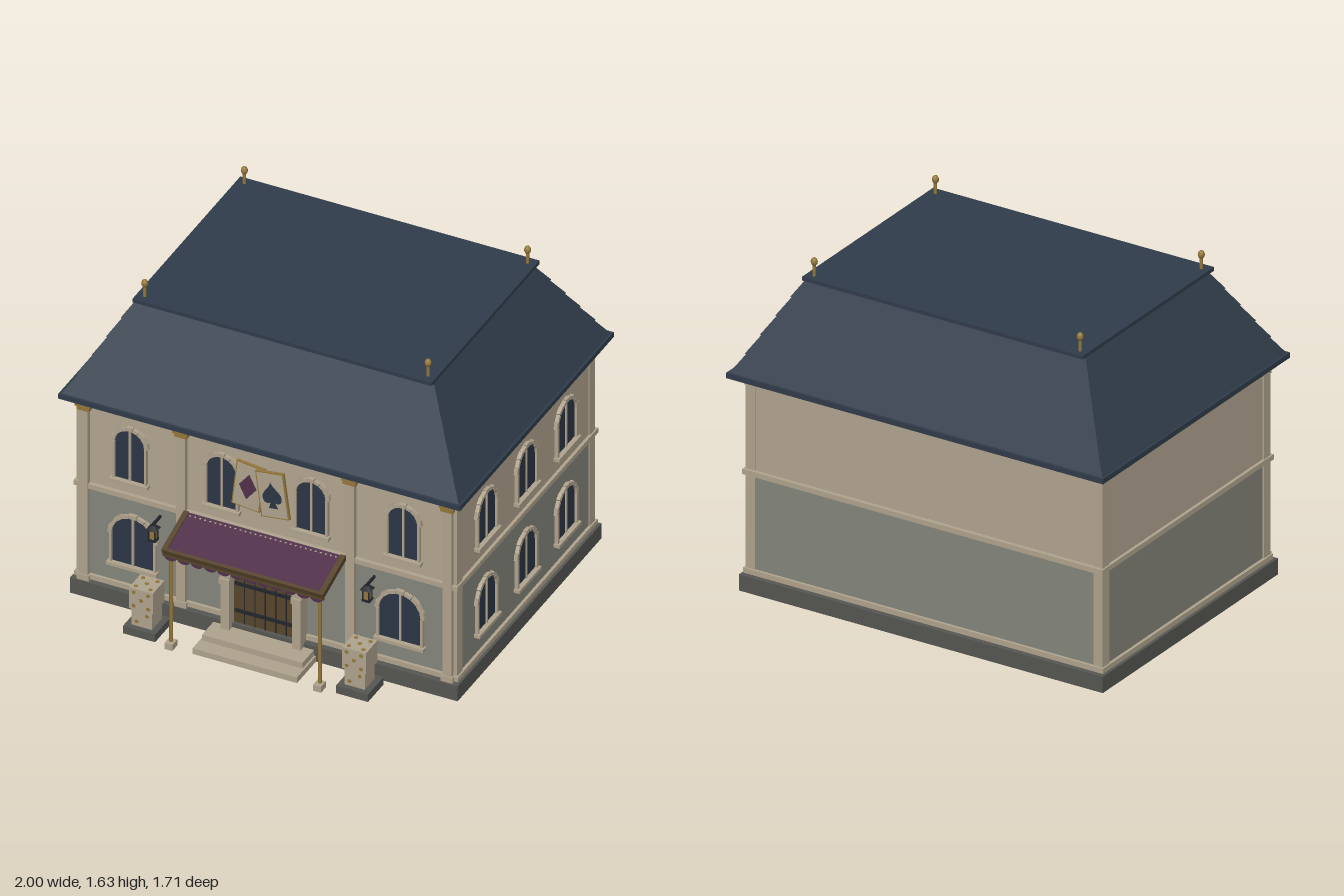
import * as THREE from 'three';

const mat = (name, color) => {
  const m = new THREE.MeshStandardMaterial({ color });
  m.name = name;
  return m;
};

export function createModel() {
  const M = {
    wall: mat('upper plaster', 0xb3a591), lower: mat('lower plaster', 0x85867b),
    trim: mat('pale stone trim', 0xb0a48d), plinth: mat('dark plinth stone', 0x565752),
    slate: mat('slate blue roof', 0x303c4a), glass: mat('navy glass', 0x2c3646),
    maroon: mat('maroon cloth', 0x51304a), gold: mat('old gold', 0x94783c),
    wood: mat('brown wood', 0x57452c), iron: mat('dark iron', 0x22262c),
  };
  const root = new THREE.Group();
  root.name = 'townHouse';
  const CZ = -0.083; // centre of the building in depth

  const add = (parent, name, geo, m, x = 0, y = 0, z = 0) => {
    const mesh = new THREE.Mesh(geo, m);
    mesh.name = name;
    mesh.position.set(x, y, z);
    parent.add(mesh);
    return mesh;
  };
  // box given by centre x/z and bottom/top heights
  const box = (parent, name, m, w, y0, y1, d, x = 0, z = 0) =>
    add(parent, name, new THREE.BoxGeometry(w, y1 - y0, d), m, x, (y0 + y1) / 2, z);
  const rod = (parent, name, m, r, y0, y1, x, z, n = 10) =>
    add(parent, name, new THREE.CylinderGeometry(r, r, y1 - y0, n), m, x, (y0 + y1) / 2, z);
  const group = (name, x = 0, y = 0, z = 0, parent = root) => {
    const g = new THREE.Group();
    g.name = name;
    g.position.set(x, y, z);
    parent.add(g);
    return g;
  };
  const extrude = (shape, depth) =>
    new THREE.ExtrudeGeometry(shape, { depth, bevelEnabled: false, curveSegments: 14 });
  // round-headed outline standing on y = 0, arch springing at height h
  const archShape = (r, h) => {
    const s = new THREE.Shape();
    s.moveTo(-r, 0);
    s.lineTo(r, 0);
    s.lineTo(r, h);
    s.absarc(0, h, r, 0, Math.PI, false);
    s.lineTo(-r, 0);
    return s;
  };
  // ring of wedge stones over an opening
  const archStones = (g, r0, r1, h, depth, count) => {
    for (let i = 0; i < count; i++) {
      const a = (i / count) * Math.PI, b = ((i + 0.94) / count) * Math.PI;
      const s = new THREE.Shape();
      const out = r1 + (i % 2 ? 0 : 0.004);
      s.moveTo(r0 * Math.cos(a), r0 * Math.sin(a));
      s.lineTo(out * Math.cos(a), out * Math.sin(a));
      s.lineTo(out * Math.cos(b), out * Math.sin(b));
      s.lineTo(r0 * Math.cos(b), r0 * Math.sin(b));
      add(g, 'archStone', extrude(s, depth), M.trim, 0, h, 0);
    }
  };

  // walls and plinth
  box(root, 'plinth', M.plinth, 1.93, 0, 0.08, 1.44, 0, -0.08);
  box(root, 'lowerWalls', M.lower, 1.88, 0.08, 0.58, 1.37, 0, CZ);
  box(root, 'upperWalls', M.wall, 1.88, 0.58, 1.07, 1.37, 0, CZ);
  box(root, 'baseBand', M.trim, 1.91, 0.085, 0.11, 1.40, 0, CZ);
  box(root, 'floorBand', M.trim, 1.91, 0.575, 0.6, 1.41, 0, CZ);
  box(root, 'upperBand', M.trim, 1.9, 1.015, 1.04, 1.39, 0, CZ);
  box(root, 'cornice', M.trim, 1.935, 1.04, 1.065, 1.44, 0, CZ);
  for (const sx of [-1, 1]) {
    for (const z of [0.58, -0.745]) box(root, 'cornerPost', M.trim, 0.05, 0.08, 1.04, 0.055, sx * 0.922, z);
    for (const x of [0.905, 0.42]) {
      box(root, 'pilaster', M.trim, 0.045, 0.08, 1.0, 0.035, sx * x, 0.61);
      box(root, 'pilasterFoot', M.trim, 0.06, 0.08, 0.11, 0.045, sx * x, 0.61);
      box(root, 'pilasterCapital', M.gold, 0.062, 0.995, 1.02, 0.045, sx * x, 0.61);
      box(root, 'pilasterCapitalTop', M.gold, 0.075, 1.015, 1.035, 0.055, sx * x, 0.61);
    }
  }

  // mansard roof: sloping slate tiers with small overhangs
  const frustum = (hx0, hz0, hx1, hz1, h) => {
    const g = new THREE.BoxGeometry(2, h, 2);
    const p = g.attributes.position;
    for (let i = 0; i < p.count; i++) {
      const top = p.getY(i) > 0;
      p.setX(i, p.getX(i) * (top ? hx1 : hx0));
      p.setZ(i, p.getZ(i) * (top ? hz1 : hz0));
    }
    g.computeVertexNormals();
    return g;
  };
  box(root, 'eaves', M.slate, 2, 1.065, 1.09, 1.54, 0, CZ);
  for (let i = 0; i < 5; i++) {
    const a = 0.012 + i * 0.049, b = a + 0.055, h = 0.087;
    add(root, 'roofTier', frustum(1 - a, 0.77 - a, 1 - b, 0.77 - b, h), M.slate, 0, 1.09 + (i + 0.5) * h, CZ);
  }
  box(root, 'roofCap', M.slate, 1.49, 1.522, 1.54, 1.08, 0, CZ);
  for (const x of [-0.705, 0.705]) for (const z of [0.413, -0.583]) {
    rod(root, 'finialRod', M.gold, 0.008, 1.54, 1.6, x, z);
    add(root, 'finialBall', new THREE.SphereGeometry(0.016, 12, 10), M.gold, x, 1.61, z).scale.y = 1.3;
  }

  // round-headed windows; base y, glass half width, springing height
  const addWindow = (x, y, z, r, h, turn) => {
    const g = group('window', x, y, z);
    g.rotation.y = turn;
    add(g, 'windowGlass', extrude(archShape(r, h), 0.006), M.glass);
    archStones(g, r, r + 0.016, h, 0.018, 9);
    for (const s of [-1, 1]) box(g, 'windowJamb', M.trim, 0.012, 0, h, 0.018, s * (r + 0.005), 0.009);
    box(g, 'windowMullion', M.trim, 0.01, 0, h + r, 0.006, 0, 0.009);
    box(g, 'windowSill', M.trim, 2 * r + 0.04, -0.012, 0.005, 0.03, 0, 0.015);
  };
  for (const s of [-1, 1]) {
    addWindow(s * 0.68, 0.668, 0.602, 0.074, 0.2, 0);
    addWindow(s * 0.223, 0.668, 0.602, 0.074, 0.2, 0);
    addWindow(s * 0.665, 0.213, 0.602, 0.105, 0.155, 0);
  }
  for (const z of [0.317, -0.081, -0.48])
    for (const y of [0.682, 0.218]) addWindow(0.94, y, z, 0.09, 0.157, Math.PI / 2);

  // doorway
  const door = group('doorway', 0, 0.06, 0.602);
  add(door, 'doorLeaf', extrude(archShape(0.16, 0.27), 0.02), M.wood);
  for (let i = -2; i <= 2; i++) box(door, 'plankGap', M.iron, 0.005, 0, 0.4, 0.004, i * 0.052, 0.021);
  for (const y of [0.08, 0.225, 0.32]) box(door, 'ironStrap', M.iron, 0.3, y, y + 0.016, 0.008, 0, 0.024);
  archStones(door, 0.155, 0.2, 0.27, 0.07, 11);
  box(door, 'keystone', M.trim, 0.045, 0.425, 0.495, 0.08, 0, 0.04);
  for (const s of [-1, 1]) {
    box(door, 'doorJamb', M.trim, 0.042, 0, 0.25, 0.07, s * 0.178, 0.035);
    box(door, 'jambCap', M.trim, 0.05, 0.245, 0.275, 0.08, s * 0.178, 0.04);
  }
  box(root, 'lowerStep', M.trim, 0.52, 0, 0.03, 0.2, 0, 0.73);
  box(root, 'upperStep', M.trim, 0.5, 0.03, 0.06, 0.13, 0, 0.69);

  // awning: tilted cloth in a wooden frame, scalloped edge, two posts
  const awning = group('awning', 0, 0.56, 0.738);
  awning.rotation.x = 0.31;
  box(awning, 'awningCloth', M.maroon, 0.76, -0.006, 0.008, 0.235);
  for (const s of [-1, 1]) box(awning, 'awningSideRail', M.wood, 0.025, -0.014, 0.014, 0.238, s * 0.39);
  box(awning, 'awningFrontRail', M.wood, 0.8, -0.014, 0.012, 0.016, 0, 0.113);
  for (let i = 0; i < 30; i++) box(awning, 'stitch', M.trim, 0.008, 0.008, 0.011, 0.006, -0.363 + i * 0.025, -0.1);
  box(root, 'awningBeam', M.wood, 0.8, 0.498, 0.525, 0.014, 0, 0.842);
  for (let i = 0; i < 12; i++) {
    const s = new THREE.Shape();
    s.absarc(0, 0, 0.032, Math.PI, 2 * Math.PI, false);
    add(root, 'scallop', extrude(s, 0.008), M.maroon, -0.363 + i * 0.066, 0.503, 0.838).scale.y = 0.75;
  }
  for (const s of [-1, 1]) {
    rod(root, 'awningPost', M.gold, 0.009, 0.03, 0.525, s * 0.37, 0.822);
    box(root, 'postFoot', M.trim, 0.04, 0, 0.032, 0.05, s * 0.37, 0.826);
  }

  // stacked dice on pedestals
  const pipGeo = new THREE.CylinderGeometry(0.0095, 0.0095, 0.004, 10);
  const spots = [[-1, -1], [1, -1], [0, 0], [-1, 1], [1, 1]];
  for (const s of [-1, 1]) {
    const g = group('dicePedestal', s * 0.53, 0, 0.745);
    box(g, 'pedestal', M.plinth, 0.16, 0, 0.04, 0.155);
    box(g, 'lowerDie', M.trim, 0.1, 0.04, 0.13, 0.1);
    box(g, 'upperDie', M.trim, 0.118, 0.13, 0.243, 0.115);
    for (const [u, v] of spots) {
      add(g, 'topPip', pipGeo, M.gold, u * 0.036, 0.244, v * 0.036);
      add(g, 'frontPip', pipGeo, M.gold, u * 0.036, 0.187 + v * 0.036, 0.058).rotation.x = Math.PI / 2;
    }
    for (const u of [-1, 1])
      add(g, 'lowerPip', pipGeo, M.gold, u * 0.026, 0.085 + u * 0.02, 0.0505).rotation.x = Math.PI / 2;
  }

  // wall lanterns
  for (const s of [-1, 1]) {
    const g = group('lantern', s * 0.533, 0, 0.675);
    box(g, 'lanternBase', M.iron, 0.04, 0.437, 0.447, 0.04);
    box(g, 'lanternLight', M.gold, 0.028, 0.447, 0.5, 0.028);
    for (const a of [-1, 1]) for (const b of [-1, 1]) box(g, 'lanternBar', M.iron, 0.006, 0.445, 0.502, 0.006, a * 0.015, b * 0.015);
    const cap = add(g, 'lanternCap', new THREE.CylinderGeometry(0.012, 0.037, 0.02, 4), M.iron, 0, 0.508, 0);
    cap.rotation.y = Math.PI / 4;
    box(g, 'lanternBracket', M.iron, 0.01, 0.515, 0.527, 0.08, 0, -0.035);
  }

  // hanging sign of two playing cards
  const addCard = (x, z, tilt, symbol, m) => {
    const g = group('signCard', x, 0.857, z);
    g.rotation.z = tilt;
    box(g, 'cardBorder', M.gold, 0.142, -0.12, 0.12, 0.014);
    box(g, 'cardFace', M.trim, 0.128, -0.113, 0.113, 0.006, 0, 0.007);
    add(g, 'cardSymbol', extrude(symbol, 0.004), m, 0, 0, 0.009);
  };
  const diamond = new THREE.Shape();
  diamond.moveTo(0, -0.068);
  diamond.lineTo(0.043, 0);
  diamond.lineTo(0, 0.068);
  diamond.lineTo(-0.043, 0);
  const spade = new THREE.Shape();
  spade.moveTo(0, 0.07);
  spade.bezierCurveTo(-0.01, 0.035, -0.05, 0.02, -0.047, -0.015);
  spade.bezierCurveTo(-0.045, -0.045, -0.012, -0.045, -0.006, -0.025);
  spade.lineTo(-0.022, -0.065);
  spade.lineTo(0.022, -0.065);
  spade.lineTo(0.006, -0.025);
  spade.bezierCurveTo(0.012, -0.045, 0.045, -0.045, 0.047, -0.015);
  spade.bezierCurveTo(0.05, 0.02, 0.01, 0.035, 0, 0.07);
  addCard(-0.068, 0.652, -0.11, diamond, M.maroon);
  addCard(0.06, 0.668, 0.13, spade, M.glass);
  box(root, 'signBracket', M.iron, 0.1, 0.84, 0.87, 0.05, 0, 0.625);

  return root;
}
